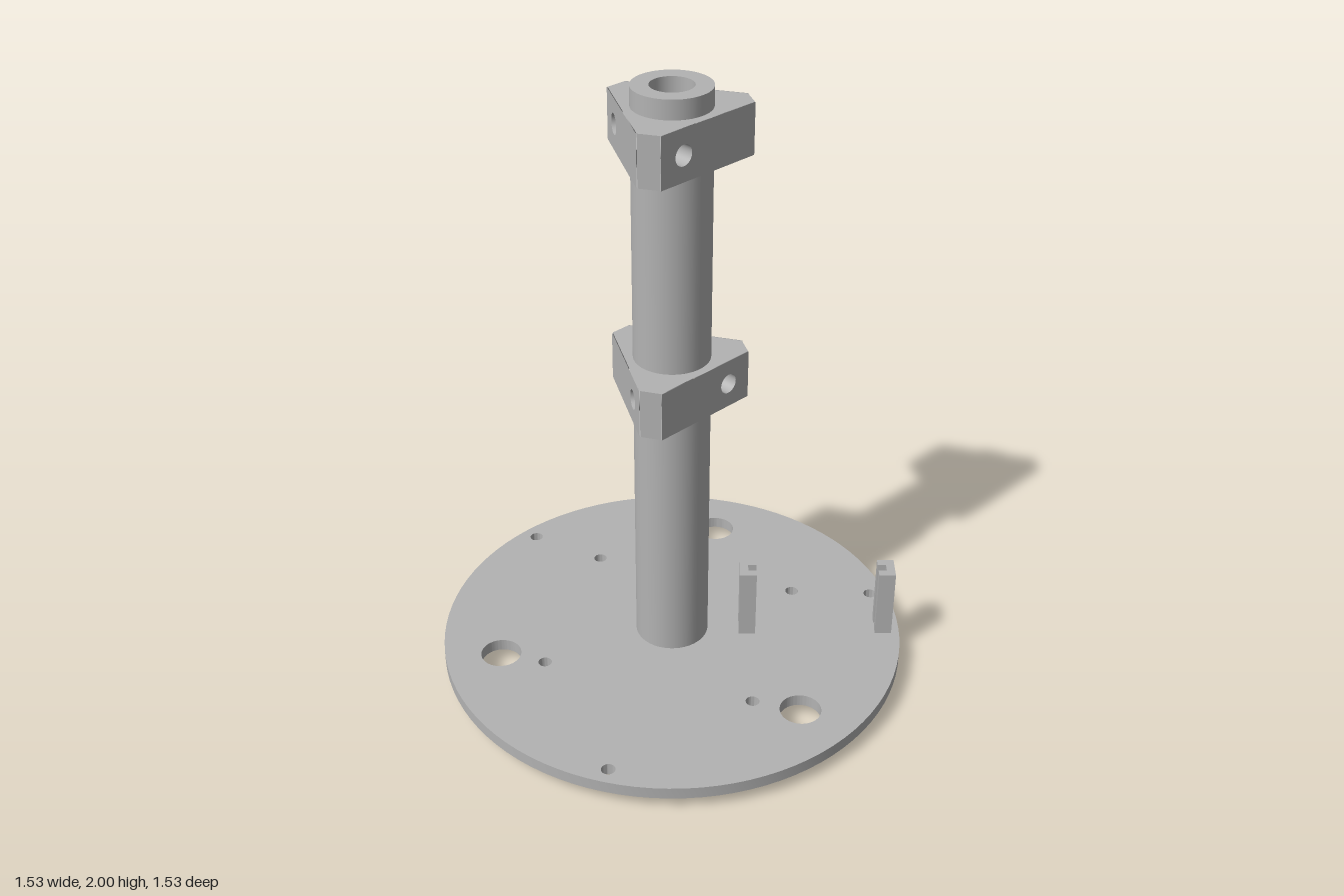
import * as THREE from 'three';
import { toCreasedNormals } from 'three/addons/utils/BufferGeometryUtils.js';

const PLATE_R = 0.765, BORE = 0.066, COLUMN_R = 0.12, PIN = 0.022;
const FACE = 0.147, FACE_HALF = 0.185, CORNER = 0.232, CORNER_HALF = 0.033;

// Double-sided because the bores are open tubes
const grey = new THREE.MeshStandardMaterial({ color: 0xb3b3b3, side: THREE.DoubleSide });
grey.name = 'machined grey';

function add(parent, name, geometry, x = 0, y = 0, z = 0) {
  const mesh = new THREE.Mesh(geometry, grey);
  mesh.name = name;
  mesh.position.set(x, y, z);
  parent.add(mesh);
  return mesh;
}

function circle(x, y, r) {
  return new THREE.Path().absarc(x, y, r, 0, Math.PI * 2, true);
}

function disc(r) {
  return new THREE.Shape().absarc(0, 0, r, 0, Math.PI * 2, false);
}

// Shape in (x, -z) extruded upwards from y = 0
function slab(shape, height) {
  const g = new THREE.ExtrudeGeometry(shape, { depth: height, bevelEnabled: false, curveSegments: 48 });
  return toCreasedNormals(g.rotateX(-Math.PI / 2), 0.5);
}

function tube(r, height) {
  return new THREE.CylinderGeometry(r, r, height, 48, 1, true);
}

function rect(halfWidth, halfHeight) {
  return new THREE.Shape([
    new THREE.Vector2(-halfWidth, -halfHeight), new THREE.Vector2(halfWidth, -halfHeight),
    new THREE.Vector2(halfWidth, halfHeight), new THREE.Vector2(-halfWidth, halfHeight),
  ]);
}

// Three-sided collar with cut corners and one blind hole per long face
function collar(name, y, holeX) {
  const g = new THREE.Group();
  g.name = name;
  g.position.y = y;
  const half = 0.08, depth = 0.1, holeR = 0.032;
  const outline = [];
  for (let i = 0; i < 3; i++) {
    const a = -Math.PI / 2 + i * Math.PI * 2 / 3;
    for (const s of [-CORNER_HALF, CORNER_HALF]) {
      outline.push(new THREE.Vector2(
        CORNER * Math.cos(a) - s * Math.sin(a), CORNER * Math.sin(a) + s * Math.cos(a)));
    }
  }
  const ring = new THREE.Shape(outline);
  ring.holes.push(circle(0, 0, COLUMN_R));
  const cap = new THREE.ShapeGeometry(ring, 48).rotateX(-Math.PI / 2);
  add(g, 'collarTop', cap, 0, half, 0);
  add(g, 'collarBottom', cap, 0, -half, 0).rotation.z = Math.PI;

  const panel = rect(FACE_HALF, half);
  panel.holes.push(circle(holeX, 0, holeR));
  for (let i = 0; i < 3; i++) {
    const side = new THREE.Group();
    side.name = 'collarSide';
    side.rotation.y = Math.PI / 3 + i * Math.PI * 2 / 3;
    add(side, 'collarFace', new THREE.ShapeGeometry(panel, 32), 0, 0, FACE);
    add(side, 'screwHoleWall', tube(holeR, depth).rotateX(Math.PI / 2), holeX, 0, FACE - depth / 2);
    add(side, 'screwHoleFloor', new THREE.CircleGeometry(holeR, 32), holeX, 0, FACE - depth);
    g.add(side);
    const corner = new THREE.Group();
    corner.name = 'collarCorner';
    corner.rotation.y = i * Math.PI * 2 / 3;
    add(corner, 'collarCornerFace', new THREE.ShapeGeometry(rect(CORNER_HALF, half)), 0, 0, CORNER);
    g.add(corner);
  }
  return g;
}

export function createModel() {
  const model = new THREE.Group();
  model.name = 'columnStand';

  // Round base plate with its drilled holes
  const feet = [[-0.35, -0.295], [0.35, -0.295], [-0.35, 0.295], [0.35, 0.295]];
  const plate = disc(PLATE_R);
  plate.holes.push(circle(0, 0, BORE));
  for (let i = 0; i < 3; i++) {
    const a = Math.PI / 2 + i * Math.PI * 2 / 3;
    plate.holes.push(circle(0.583 * Math.cos(a), 0.583 * Math.sin(a), BORE));
    plate.holes.push(circle(-0.71 * Math.cos(a), -0.71 * Math.sin(a), PIN));
  }
  for (const [x, z] of feet) plate.holes.push(circle(x, -z, PIN));
  add(model, 'basePlate', slab(plate, 0.04), 0, 0.042, 0);

  // Hollow feet under the plate
  const foot = disc(0.049);
  foot.holes.push(circle(0, 0, PIN));
  const footGeometry = slab(foot, 0.042);
  for (const [x, z] of feet) add(model, 'foot', footGeometry, x, 0, z);

  // Hollow column, its outer wall interrupted by the collars
  for (const [low, high] of [[0.082, 0.975], [1.135, 1.78], [1.94, 2]]) {
    add(model, 'columnWall', tube(COLUMN_R, high - low), 0, (low + high) / 2, 0);
  }
  add(model, 'columnBore', tube(BORE, 1.918), 0, 1.041, 0);
  add(model, 'columnRim', new THREE.RingGeometry(BORE, COLUMN_R, 48).rotateX(-Math.PI / 2), 0, 2, 0);

  model.add(collar('lowerCollar', 1.055, 0.098));
  model.add(collar('upperCollar', 1.86, -0.098));

  // Two channel posts whose slots face each other
  const channel = new THREE.Shape([
    [-0.0275, -0.042], [0.0275, -0.042], [0.0275, -0.015], [0, -0.015],
    [0, 0.015], [0.0275, 0.015], [0.0275, 0.042], [-0.0275, 0.042],
  ].map(([x, y]) => new THREE.Vector2(x, y)));
  const postGeometry = slab(channel, 0.243);
  const tilt = Math.PI / 12;
  add(model, 'innerPost', postGeometry, 0.243, 0.082, -0.068).rotation.y = tilt;
  add(model, 'outerPost', postGeometry, 0.683, 0.082, -0.194).rotation.y = tilt + Math.PI;

  return model;
}
